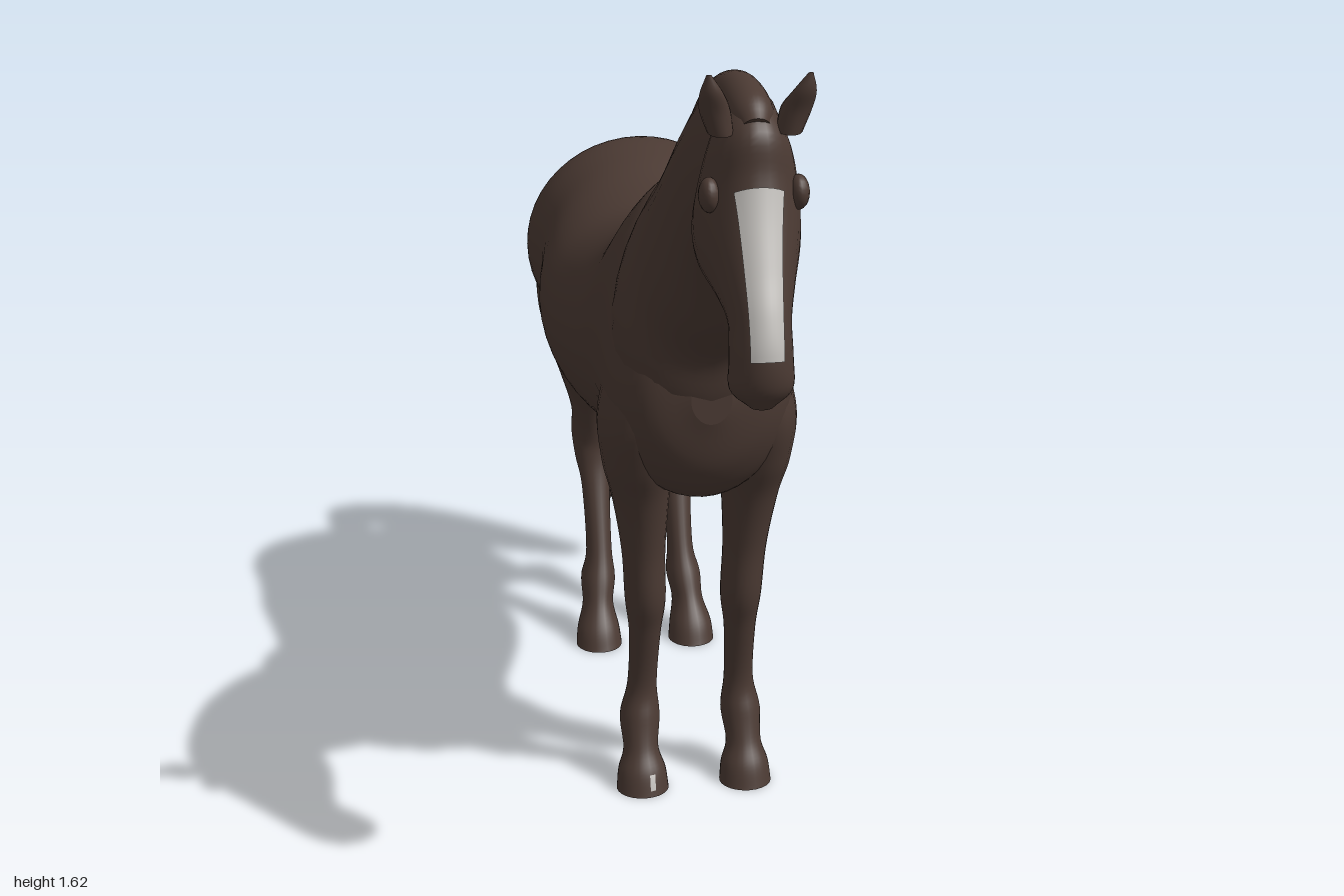
import * as THREE from 'three';

const coat = new THREE.MeshStandardMaterial({ color: 0x4b3a33 });
coat.name = 'dark brown coat';
const white = new THREE.MeshStandardMaterial({ color: 0xc4c1bd, side: THREE.DoubleSide });
white.name = 'pale marking';

// Smooth loft. Section: [zA, yA, zB, yB, halfWidth, centreX, egg]; A and B are the two
// profile points of the cross-section, egg > 0 narrows the A side.
// patch(t) -> [x0, x1] builds only a thin strip lying on the A side of the skin.
function loft(name, sections, { side = 1, patch = null, from = 0, to = 1, around = 32, steps = 6 } = {}) {
  const curve = (f) => new THREE.CatmullRomCurve3(sections.map(f), false, 'catmullrom');
  const a = curve((s) => new THREE.Vector3(0, s[1], s[0]));
  const b = curve((s) => new THREE.Vector3(0, s[3], s[2]));
  const c = curve((s) => new THREE.Vector3(s[4], s[6] || 0, side * (s[5] || 0)));
  const rows = patch ? 24 : (sections.length - 1) * steps;
  const cols = patch ? 9 : around;
  const pos = [], idx = [];
  const ring = (t) => {
    const A = a.getPoint(t), B = b.getPoint(t), C = c.getPoint(t);
    const mid = A.clone().add(B).multiplyScalar(0.5);
    const half = A.sub(B).multiplyScalar(0.5);
    mid.x = C.z;
    return { mid, half, w: Math.max(C.x, 0.001), egg: C.y };
  };
  for (let i = 0; i <= rows; i++) {
    const t = from + (to - from) * i / rows;
    const { mid, half, w, egg } = ring(t);
    for (let j = 0; j < cols; j++) {
      let th = j / cols * Math.PI * 2, grow = 1;
      if (patch) {
        const [x0, x1] = patch(i / rows);
        const x = x0 + (x1 - x0) * j / (cols - 1);
        th = Math.asin(THREE.MathUtils.clamp(x / (w * (1 - egg)), -0.95, 0.95));
        grow = 1.035;
      }
      const p = half.clone().multiplyScalar(Math.cos(th) * grow).add(mid);
      p.x += w * (1 - egg * Math.cos(th)) * Math.sin(th) * grow;
      pos.push(p.x, p.y, p.z);
    }
  }
  // Wind the faces outwards
  const m = ring(0.5), step = ring(0.52).mid.sub(ring(0.48).mid);
  const out = new THREE.Vector3(1, 0, 0).cross(step).dot(m.half) > 0;
  const tri = (p, q, r) => (out ? idx.push(p, q, r) : idx.push(p, r, q));
  for (let i = 0; i < rows; i++) {
    for (let j = 0; j < (patch ? cols - 1 : cols); j++) {
      const k = (j + 1) % cols, r = i * cols, n = r + cols;
      tri(r + j, r + k, n + j);
      tri(r + k, n + k, n + j);
    }
  }
  // Flat end caps with their own vertices
  if (!patch) {
    for (const end of [0, 1]) {
      const base = pos.length / 3, r = end * rows * cols * 3, mid = ring(end).mid;
      for (let j = 0; j < cols * 3; j++) pos.push(pos[r + j]);
      pos.push(mid.x, mid.y, mid.z);
      for (let j = 0; j < cols; j++) {
        const p = base + j, q = base + (j + 1) % cols;
        if (end) tri(p, q, base + cols); else tri(q, p, base + cols);
      }
    }
  }
  const g = new THREE.BufferGeometry();
  g.setAttribute('position', new THREE.Float32BufferAttribute(pos, 3));
  g.setIndex(idx);
  g.computeVertexNormals();
  const mesh = new THREE.Mesh(g, patch ? white : coat);
  mesh.name = name;
  return mesh;
}

const BODY = [
  [0.475, 0.97, 0.478, 0.87, 0.04], [0.445, 1.08, 0.45, 0.76, 0.13], [0.36, 1.17, 0.38, 0.685, 0.18, 0, 0.05],
  [0.25, 1.30, 0.25, 0.67, 0.19, 0, 0.15], [0.15, 1.285, 0.13, 0.68, 0.195, 0, 0.18],
  [0.05, 1.195, 0.02, 0.67, 0.217, 0, 0.1], [-0.1, 1.163, -0.1, 0.667, 0.25, 0, 0.03],
  [-0.22, 1.18, -0.2, 0.688, 0.262], [-0.35, 1.22, -0.33, 0.745, 0.243], [-0.47, 1.235, -0.46, 0.735, 0.258],
  [-0.58, 1.205, -0.57, 0.74, 0.25], [-0.67, 1.13, -0.66, 0.77, 0.19], [-0.72, 1.055, -0.72, 0.84, 0.12],
  [-0.745, 0.98, -0.745, 0.92, 0.03],
];
const NECK = [
  [0.12, 1.22, 0.40, 0.78, 0.17, 0, 0.2], [0.22, 1.31, 0.47, 0.90, 0.165, 0, 0.25],
  [0.32, 1.385, 0.50, 1.0, 0.13, 0, 0.25], [0.45, 1.485, 0.57, 1.08, 0.105, 0, 0.22],
  [0.58, 1.55, 0.64, 1.18, 0.09, 0, 0.2], [0.70, 1.575, 0.70, 1.24, 0.08, 0, 0.15],
  [0.81, 1.565, 0.75, 1.29, 0.065, 0, 0.1],
];
const MANE = [
  [0.11, 1.25, 0.17, 1.20, 0.015], [0.25, 1.34, 0.30, 1.27, 0.034], [0.40, 1.463, 0.43, 1.38, 0.04],
  [0.55, 1.549, 0.57, 1.46, 0.04], [0.70, 1.588, 0.70, 1.50, 0.04], [0.83, 1.577, 0.81, 1.49, 0.04],
  [0.885, 1.54, 0.85, 1.50, 0.025],
];
const HEAD = [
  [0.83, 1.57, 0.74, 1.51, 0.045], [0.893, 1.52, 0.69, 1.38, 0.075], [0.907, 1.45, 0.665, 1.27, 0.09],
  [0.927, 1.38, 0.71, 1.225, 0.087], [0.957, 1.30, 0.81, 1.205, 0.066], [0.985, 1.23, 0.86, 1.185, 0.053],
  [1.0, 1.165, 0.873, 1.13, 0.054], [0.995, 1.105, 0.89, 1.085, 0.053], [0.965, 1.065, 0.93, 1.066, 0.02],
];
const EAR = [
  [0.885, 1.51, 0.835, 1.52, 0.022, 0.058], [0.892, 1.55, 0.838, 1.555, 0.026, 0.068],
  [0.903, 1.585, 0.868, 1.582, 0.02, 0.077], [0.903, 1.617, 0.895, 1.615, 0.004, 0.084],
];
const FRONT_LEG = [
  [0.42, 1.02, 0.19, 1.02, 0.05, 0.10], [0.43, 0.86, 0.18, 0.86, 0.075, 0.122], [0.40, 0.75, 0.20, 0.75, 0.072, 0.12],
  [0.36, 0.66, 0.22, 0.66, 0.058, 0.112], [0.33, 0.54, 0.225, 0.54, 0.045, 0.105],
  [0.32, 0.43, 0.213, 0.42, 0.042, 0.10], [0.295, 0.35, 0.225, 0.34, 0.033, 0.10],
  [0.265, 0.22, 0.207, 0.22, 0.031, 0.103], [0.28, 0.15, 0.188, 0.14, 0.042, 0.108],
  [0.30, 0.09, 0.225, 0.075, 0.037, 0.11], [0.325, 0.045, 0.23, 0.035, 0.05, 0.11],
  [0.34, 0, 0.235, 0, 0.055, 0.11],
];
const HIND_LEG = [
  [-0.38, 1.02, -0.68, 1.02, 0.10, 0.13], [-0.33, 0.85, -0.715, 0.87, 0.105, 0.133],
  [-0.40, 0.74, -0.655, 0.745, 0.08, 0.133], [-0.475, 0.66, -0.62, 0.655, 0.06, 0.125],
  [-0.535, 0.56, -0.63, 0.56, 0.046, 0.11], [-0.56, 0.48, -0.685, 0.49, 0.052, 0.10],
  [-0.56, 0.43, -0.645, 0.42, 0.046, 0.10], [-0.54, 0.36, -0.60, 0.35, 0.034, 0.10],
  [-0.485, 0.22, -0.56, 0.20, 0.031, 0.10], [-0.45, 0.15, -0.56, 0.14, 0.041, 0.105],
  [-0.425, 0.10, -0.52, 0.08, 0.037, 0.11], [-0.39, 0.045, -0.495, 0.035, 0.05, 0.113],
  [-0.37, 0, -0.49, 0, 0.055, 0.113],
];
const TAIL = [
  [-0.70, 1.12, -0.70, 1.02, 0.035], [-0.79, 1.123, -0.765, 0.99, 0.048], [-0.88, 1.075, -0.80, 0.94, 0.08],
  [-0.95, 0.935, -0.815, 0.85, 0.095], [-0.988, 0.76, -0.80, 0.73, 0.09], [-0.997, 0.58, -0.797, 0.58, 0.078],
  [-0.985, 0.40, -0.835, 0.40, 0.068], [-0.965, 0.25, -0.87, 0.26, 0.06], [-0.955, 0.205, -0.88, 0.215, 0.054],
];

export function createModel() {
  const horse = new THREE.Group();
  horse.name = 'horse';
  horse.add(loft('body', BODY, { around: 48 }), loft('neck', NECK), loft('mane', MANE), loft('head', HEAD), loft('tail', TAIL));

  // Blaze down the face, wide at the brow
  horse.add(loft('blaze', HEAD, {
    from: 2.3 / 8, to: 6.1 / 8,
    patch: (t) => { const h = 0.025 + 0.016 * (1 - t) ** 2 + 0.003 * t; return [-h, h]; },
  }));

  for (const side of [1, -1]) {
    const tag = side > 0 ? 'left' : 'right';
    horse.add(loft(tag + 'FrontLeg', FRONT_LEG, { side, around: 24 }));
    horse.add(loft(tag + 'HindLeg', HIND_LEG, { side, around: 24 }));
    horse.add(loft(tag + 'Ear', EAR, { side, around: 16 }));
    // Brow bulge over the eye
    const eye = new THREE.Mesh(new THREE.SphereGeometry(0.03, 16, 12), coat);
    eye.name = tag + 'Eye';
    eye.scale.set(0.6, 1, 0.9);
    eye.position.set(side * 0.076, 1.41, 0.86);
    horse.add(eye);
  }

  // Small pale mark on the right front hoof
  horse.add(loft('hoofMark', FRONT_LEG, { side: -1, from: 10 / 11, to: 10.7 / 11, patch: () => [0.01, 0.021] }));

  // Ragged hair ends of the tail
  for (let i = 0; i < 7; i++) {
    const ang = i / 7 * Math.PI * 2;
    const lock = new THREE.Mesh(new THREE.ConeGeometry(0.02, 0.06, 8), coat);
    lock.name = 'tailLock';
    lock.rotation.x = Math.PI;
    lock.position.set(Math.sin(ang) * 0.036, 0.197 + 0.008 * (i % 3), -0.922 + Math.cos(ang) * 0.02);
    horse.add(lock);
  }
  return horse;
}
